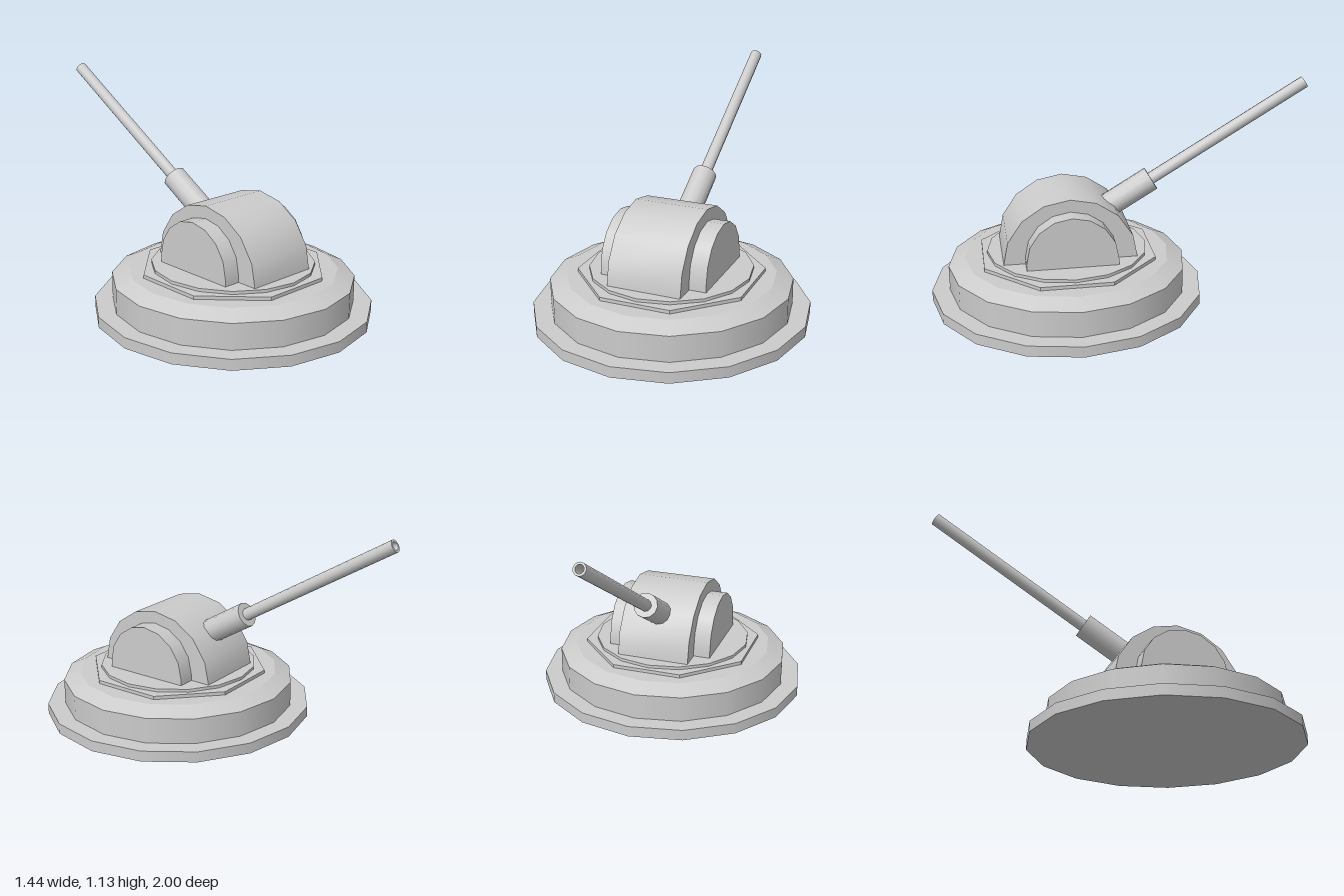
import * as THREE from 'three';
import { toCreasedNormals } from 'three/addons/utils/BufferGeometryUtils.js';

export function createModel() {
  const model = new THREE.Group();
  const grey = new THREE.MeshStandardMaterial({ color: 0xcccccc });
  const flatGrey = new THREE.MeshStandardMaterial({ color: 0xcccccc, flatShading: true });

  // Everything turns around the pivot of the round base
  const turret = new THREE.Group();
  turret.name = 'turret';
  turret.position.z = 0.28;
  model.add(turret);

  function add(name, geometry, parent = turret, material = grey) {
    const mesh = new THREE.Mesh(geometry, material);
    mesh.name = name;
    parent.add(mesh);
    return mesh;
  }

  // Stacked base tiers: name, bottom radius, top radius, bottom y, top y, sides
  const tiers = [
    ['baseFlange', 0.72, 0.72, 0, 0.057, 16],
    ['baseDrum', 0.627, 0.627, 0.057, 0.192, 16],
    ['baseBevel', 0.627, 0.54, 0.192, 0.232, 16],
    ['octagonPlate', 0.482, 0.482, 0.232, 0.25, 8],
    ['turntable', 0.422, 0.422, 0.25, 0.266, 16],
  ];
  for (const [name, r0, r1, y0, y1, sides] of tiers) {
    const octagon = sides === 8;
    const geo = new THREE.CylinderGeometry(r1, r0, y1 - y0, sides, 1, false, octagon ? Math.PI / 8 : 0);
    add(name, geo, turret, octagon ? flatGrey : grey).position.y = (y0 + y1) / 2;
  }

  // Half-round housing lying along x, with straight sides down to the turntable
  function halfDrum(radius, centreY, halfWidth) {
    const shape = new THREE.Shape();
    shape.moveTo(radius, 0.25);
    for (let i = 0; i <= 8; i++) {
      const a = (i / 8) * Math.PI;
      shape.lineTo(radius * Math.cos(a), centreY + radius * Math.sin(a));
    }
    shape.lineTo(-radius, 0.25);
    const geo = new THREE.ExtrudeGeometry(shape, { depth: halfWidth * 2, bevelEnabled: false });
    geo.translate(0, 0, -halfWidth).rotateY(Math.PI / 2);
    return toCreasedNormals(geo, 0.6);
  }
  add('housing', halfDrum(0.35, 0.251, 0.195));
  add('sideDrums', halfDrum(0.236, 0.3, 0.284));

  // Gun, raised about 31 degrees and pointing to the back
  const gun = new THREE.Group();
  gun.name = 'gun';
  gun.position.y = 0.348;
  gun.rotation.x = THREE.MathUtils.degToRad(-59);
  turret.add(gun);

  add('barrelSleeve', new THREE.CylinderGeometry(0.065, 0.065, 0.327, 12), gun).position.y = 0.3635;

  // Barrel with a bored muzzle
  const profile = [[0.032, 0.4], [0.032, 1.474], [0.021, 1.474], [0.021, 1.3], [0, 1.3]]
    .map(([r, y]) => new THREE.Vector2(r, y));
  add('barrel', toCreasedNormals(new THREE.LatheGeometry(profile, 12), 0.6), gun);

  return model;
}
